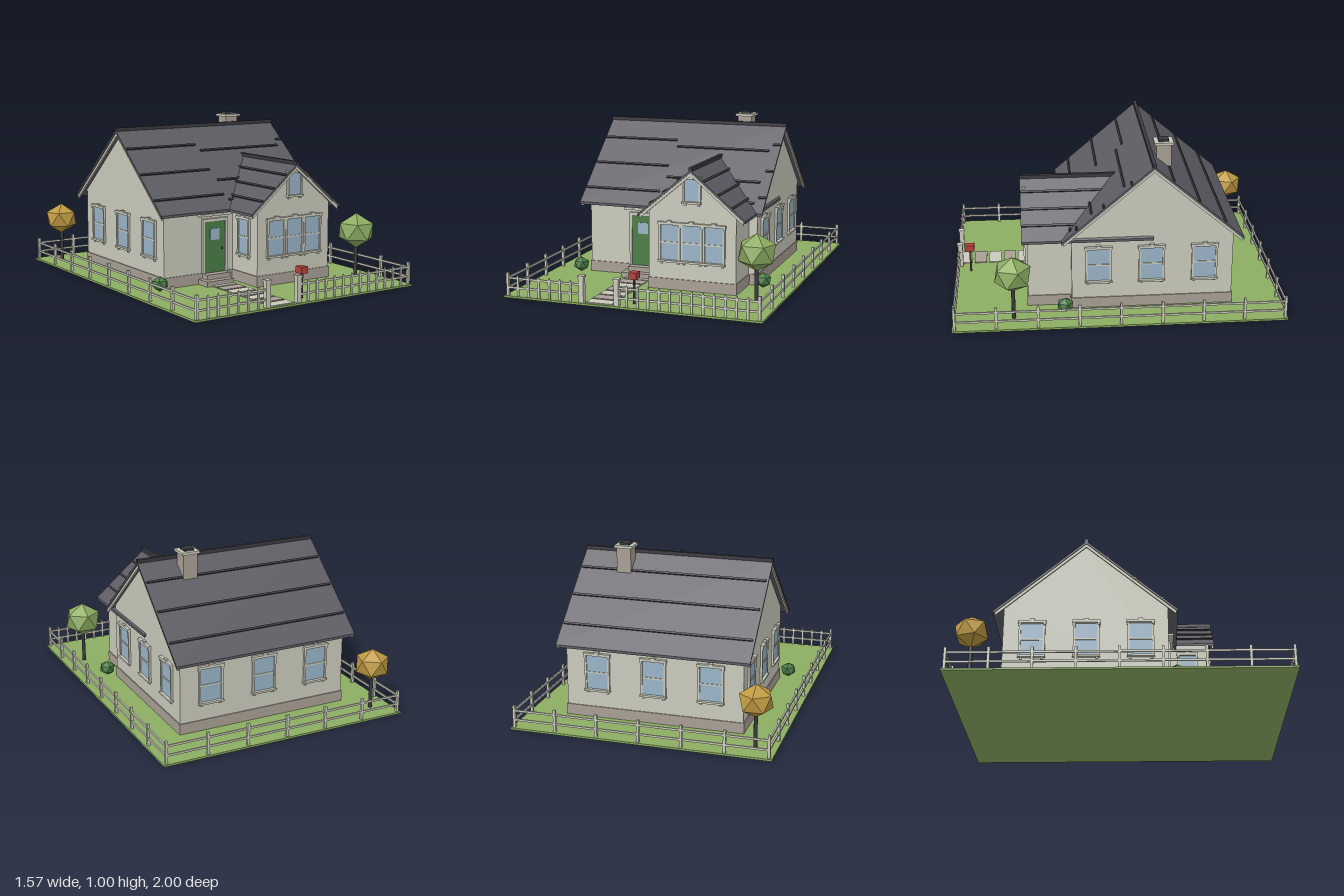
import * as THREE from 'three';

const mat = (name, color) => {
  const m = new THREE.MeshStandardMaterial({ color });
  m.name = name;
  return m;
};

export function createModel() {
  const cream = mat('cream', 0xcacbbc), stone = mat('stone', 0xa9a095);
  const slate = mat('slate', 0x5c5c63), dark = mat('charcoal', 0x3a3a40);
  const glass = mat('glass', 0x9ab4c8), green = mat('deep green', 0x4b7d47);
  const grass = mat('grass', 0x8cad62), red = mat('red', 0xb5423b), ochre = mat('ochre', 0xbf9a42);

  const model = new THREE.Group();
  const group = (name, parent = model) => {
    const g = new THREE.Group();
    g.name = name;
    parent.add(g);
    return g;
  };
  const add = (parent, name, geo, material, x = 0, y = 0, z = 0) => {
    const m = new THREE.Mesh(geo, material);
    m.name = name;
    m.position.set(x, y, z);
    parent.add(m);
    return m;
  };
  // Box by centre and size
  const box = (parent, name, material, x, y, z, w, h, d) =>
    add(parent, name, new THREE.BoxGeometry(w, h, d), material, x, y, z);
  // Profile in x,y pushed along z from z0 to z1
  const prism = (parent, name, material, pts, z0, z1) => {
    const shape = new THREE.Shape(pts.map(p => new THREE.Vector2(p[0], p[1])));
    return add(parent, name, new THREE.ExtrudeGeometry(shape, { depth: z1 - z0, bevelEnabled: false }), material, 0, 0, z0);
  };
  const chevron = (half, peak, slope, t) => [
    [-half, peak - slope * half - t], [0, peak - t], [half, peak - slope * half - t],
    [half, peak - slope * half], [0, peak], [-half, peak - slope * half]];

  // Gabled block: walls, roof, bargeboards and ridge; the ridge runs along local z
  const gabled = (g, o) => {
    const { half, peak, slope, wall } = o, t = 0.016;
    const eave = peak - slope * wall - t;
    prism(g, 'walls', cream, [[-wall, 0.075], [wall, 0.075], [wall, eave], [0, peak - t], [-wall, eave]], o.wallZ[0], o.wallZ[1]);
    box(g, 'foundation', stone, 0, 0.044, (o.wallZ[0] + o.wallZ[1]) / 2, wall * 2 + 0.012, 0.068, o.wallZ[1] - o.wallZ[0] + 0.012);
    prism(g, 'roof', slate, chevron(half, peak, slope, t), o.roofZ[0], o.roofZ[1]);
    for (const z of o.barges) prism(g, 'bargeboard', cream, chevron(half - 0.01, peak - t, slope, 0.02), z - 0.006, z + 0.006);
    box(g, 'ridgeCap', dark, 0, peak + 0.003, (o.roofZ[0] + o.roofZ[1]) / 2, 0.022, 0.022, o.roofZ[1] - o.roofZ[0] + 0.004);
    // Batten lying on the slope at offset u from the ridge
    return (u, z0, z1) => {
      const b = box(g, 'roofBatten', dark, u, peak - slope * Math.abs(u) + 0.003, (z0 + z1) / 2, 0.013, 0.014, z1 - z0);
      b.rotation.z = -Math.sign(u) * Math.atan(slope);
    };
  };

  // Lawn
  box(model, 'lawn', grass, 0, 0.006, 0, 1.57, 0.012, 2);

  // Main house: local x is world -z, local z is world x
  const main = group('mainHouse');
  main.rotation.y = Math.PI / 2;
  main.position.z = -0.205;
  const mainBatten = gabled(main, { half: 0.545, peak: 0.93, slope: 0.853, wall: 0.487, wallZ: [-0.545, 0.545], roofZ: [-0.594, 0.59], barges: [-0.582, 0.578] });
  for (const u of [0.115, 0.27, 0.43]) mainBatten(u, -0.58, 0.58);
  for (const u of [-0.13, -0.295, -0.455]) {
    mainBatten(u, -0.588, -0.095);
    mainBatten(u, 0.54, 0.586);
  }
  for (const u of [-0.17, -0.365, -0.49]) mainBatten(u, -0.08, 0.525);

  // Front wing
  const wing = group('frontWing');
  wing.position.x = 0.222;
  const wingBatten = gabled(wing, { half: 0.334, peak: 0.745, slope: 0.84, wall: 0.272, wallZ: [0.1, 0.545], roofZ: [-0.21, 0.577], barges: [0.566] });
  for (const u of [0.08, 0.17, 0.255]) for (const s of [-1, 1]) wingBatten(s * u, -0.15, 0.572);

  // Chimney
  const chimney = group('chimney');
  box(chimney, 'chimneyStack', stone, 0.304, 0.85, -0.288, 0.09, 0.26, 0.09);
  box(chimney, 'chimneyCap', cream, 0.304, 0.982, -0.288, 0.115, 0.016, 0.115);
  box(chimney, 'chimneyFlue', dark, 0.304, 0.996, -0.288, 0.062, 0.016, 0.062);

  // Window facing local +z, centred on its pane
  const addWindow = (x, y, z, w, h, turn = 0) => {
    const g = group('window');
    g.position.set(x, y, z);
    g.rotation.y = turn;
    box(g, 'pane', glass, 0, 0, 0.002, w, h, 0.008);
    for (const s of [-1, 1]) {
      box(g, 'jamb', cream, s * (w / 2 + 0.006), 0, 0.006, 0.012, h + 0.012, 0.014);
      box(g, 'sillBracket', cream, s * (w / 2 - 0.004), -h / 2 - 0.02, 0.005, 0.014, 0.012, 0.012);
      box(g, 'headerEar', cream, s * (w / 2 + 0.008), h / 2 - 0.004, 0.007, 0.014, 0.014, 0.018);
    }
    box(g, 'crossbar', cream, 0, 0, 0.006, w, 0.01, 0.008);
    box(g, 'sill', cream, 0, -h / 2 - 0.008, 0.009, w + 0.03, 0.012, 0.026);
    box(g, 'header', cream, 0, h / 2 + 0.011, 0.009, w + 0.034, 0.016, 0.02);
    box(g, 'keystone', cream, 0, h / 2 + 0.02, 0.009, 0.028, 0.016, 0.022);
    return g;
  };
  for (const x of [0.084, 0.222, 0.36]) addWindow(x, 0.3, 0.545, 0.112, 0.21);
  const attic = addWindow(0.222, 0.62, 0.545, 0.09, 0.13);
  attic.remove(attic.getObjectByName('crossbar'));
  addWindow(-0.05, 0.3, 0.41, 0.1, 0.21, -Math.PI / 2);
  for (const z of [0.12, -0.2, -0.52])
    for (const s of [-1, 1]) addWindow(s * 0.545, 0.295, z, 0.132, 0.205, s * Math.PI / 2);
  for (const x of [-0.35, 0, 0.35]) addWindow(x, 0.295, -0.692, 0.132, 0.205, Math.PI);

  // Front door with frame, hood and steps
  const door = group('frontDoor');
  box(door, 'doorLeaf', green, -0.188, 0.235, 0.285, 0.148, 0.32, 0.014);
  box(door, 'doorPane', glass, -0.188, 0.312, 0.292, 0.066, 0.07, 0.006);
  add(door, 'doorKnob', new THREE.SphereGeometry(0.007, 10, 8), dark, -0.138, 0.222, 0.297);
  for (const s of [-1, 1]) box(door, 'doorJamb', cream, -0.188 + s * 0.082, 0.24, 0.288, 0.016, 0.33, 0.02);
  box(door, 'doorHead', cream, -0.188, 0.402, 0.288, 0.18, 0.018, 0.02);
  box(door, 'doorHood', cream, -0.188, 0.436, 0.298, 0.235, 0.014, 0.04);
  box(door, 'upperStep', stone, -0.188, 0.043, 0.31, 0.17, 0.063, 0.06);
  box(door, 'lowerStep', stone, -0.205, 0.027, 0.335, 0.195, 0.034, 0.1);

  // Garden path
  for (let i = 0; i < 7; i++)
    box(model, 'pathStone', i % 2 ? stone : cream, -0.187, 0.014, 0.945 - i * 0.0945, 0.158, 0.008, 0.078);
  
  // Fence: rails from a to b with posts
  const fence = group('fence');
  const run = (x0, z0, x1, z1, n, w, h) => {
    const along = Math.abs(x1 - x0) > Math.abs(z1 - z0);
    for (const y of [0.06, 0.117])
      box(fence, 'rail', cream, (x0 + x1) / 2, y, (z0 + z1) / 2, along ? x1 - x0 : 0.009, 0.012, along ? 0.009 : z1 - z0);
    for (let i = 0; i <= n; i++) {
      const k = i / n;
      box(fence, 'post', cream, x0 + (x1 - x0) * k, h / 2 + 0.006, z0 + (z1 - z0) * k, w, h - 0.006, w);
    }
  };
  run(-0.765, -0.983, 0.765, -0.983, 6, 0.016, 0.145);
  for (const x of [-0.765, 0.765]) run(x, -0.983, x, 0.983, 8, 0.016, 0.145);

  // Pointed pickets along the front, with gate posts at the path
  const picket = [[-0.007, 0.012], [0.007, 0.012], [0.007, 0.126], [0, 0.14], [-0.007, 0.126]];
  const frontRun = (x0, x1, n) => {
    run(x0, 0.983, x1, 0.983, 1, 0.012, 0.13);
    for (let i = 1; i < n; i++)
      prism(fence, 'picket', cream, picket, 0.984, 0.992).position.x = x0 + (x1 - x0) * i / n;
  };
  frontRun(-0.765, -0.294, 7);
  frontRun(-0.077, 0.765, 13);
  for (const x of [-0.294, -0.077]) {
    box(fence, 'gatePost', cream, x, 0.085, 0.977, 0.03, 0.15, 0.03);
    box(fence, 'gatePostCap', cream, x, 0.165, 0.977, 0.038, 0.012, 0.038);
  }

  // Faceted foliage standing on one vertex
  const crown = (parent, name, material, x, y, z, r, wide) => {
    const geo = new THREE.IcosahedronGeometry(r, 0);
    geo.rotateZ(-Math.atan(2 / (1 + Math.sqrt(5)))).rotateY(Math.PI / 2).scale(wide, 1, wide);
    geo.computeVertexNormals();
    add(parent, name, geo, material, x, y, z);
  };
  const tree = (name, material, x, y, z, r) => {
    const g = group(name);
    add(g, 'trunk', new THREE.CylinderGeometry(0.011, 0.012, y, 8), dark, x, y / 2 + 0.006, z);
    crown(g, 'crown', material, x, y, z, r, 1.1);
  };
  tree('autumnTree', ochre, -0.657, 0.293, -0.857, 0.099);
  tree('greenTree', grass, 0.645, 0.303, 0.635, 0.11);
  for (const x of [-0.598, 0.598]) crown(model, 'bush', green, x, 0.06, 0.325, 0.046, 1.15);

  // Mailbox
  const mailbox = group('mailbox');
  box(mailbox, 'mailboxPost', dark, 0.002, 0.086, 0.91, 0.012, 0.15, 0.012);
  box(mailbox, 'mailboxBody', red, 0.002, 0.18, 0.91, 0.048, 0.04, 0.055);

  return model;
}
